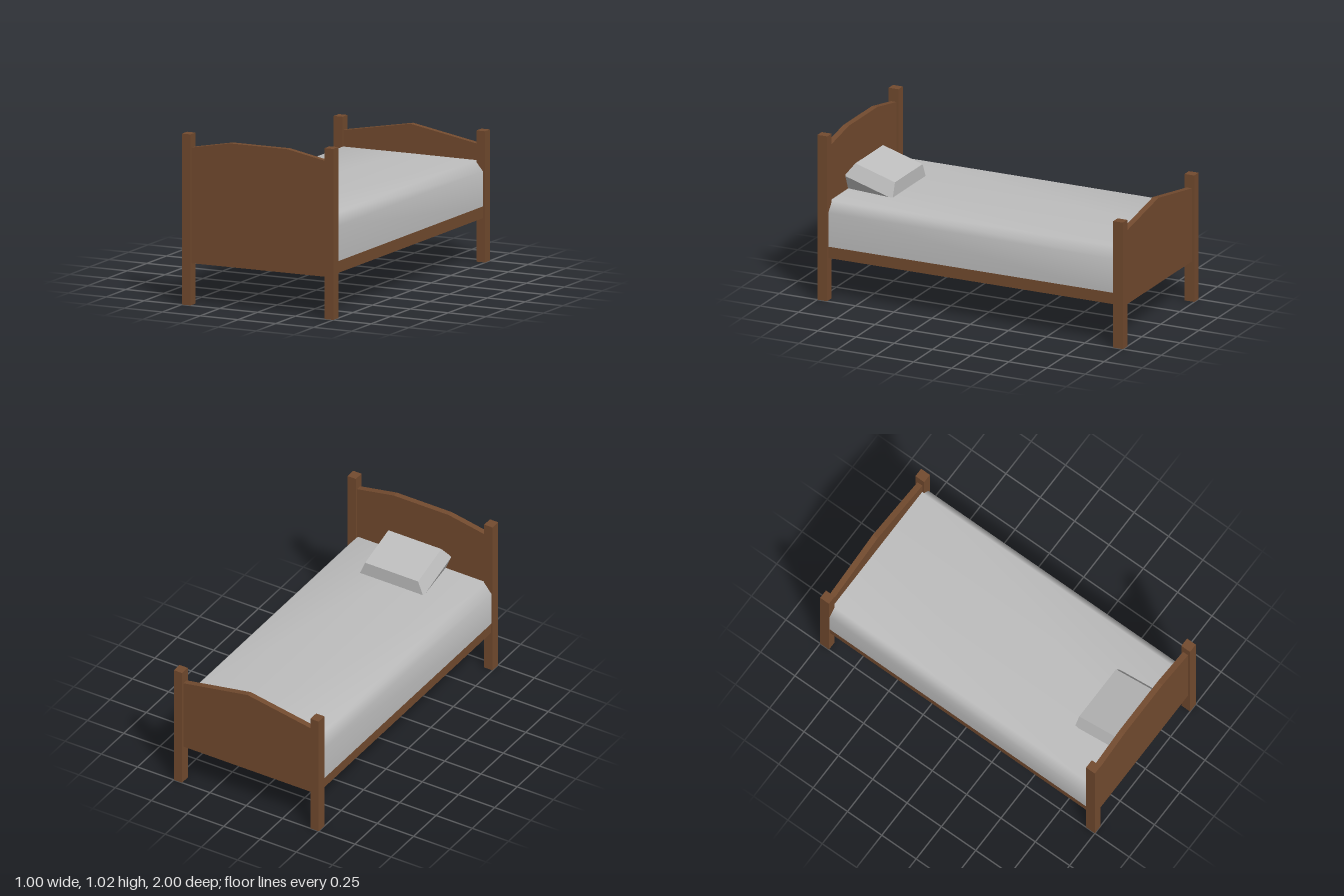
import * as THREE from 'three';

const wood = new THREE.MeshStandardMaterial({ color: 0x734b2f });
wood.name = 'brown wood';
const linen = new THREE.MeshStandardMaterial({ color: 0xbebebe });
linen.name = 'grey linen';

function add(group, name, geometry, material, x = 0, y = 0, z = 0) {
  const mesh = new THREE.Mesh(geometry, material);
  mesh.name = name;
  mesh.position.set(x, y, z);
  group.add(mesh);
  return mesh;
}

// Extrudes an outline in x and y along z, from z0 to z1
function slab(points, z0, z1) {
  const shape = new THREE.Shape(points.map(([x, y]) => new THREE.Vector2(x, y)));
  const geometry = new THREE.ExtrudeGeometry(shape, { depth: z1 - z0, bevelEnabled: false });
  return geometry.translate(0, 0, z0);
}

// Two posts with a shaped panel between them
function bedEnd(name, side, postHeight, topEdge) {
  const group = new THREE.Group();
  group.name = name;
  for (const x of [-1, 1]) {
    add(group, x > 0 ? 'leftPost' : 'rightPost',
      new THREE.BoxGeometry(0.057, postHeight, 0.064), wood, x * 0.4715, postHeight / 2, side * 0.968);
  }
  const outline = [[-0.45, 0.25], [0.45, 0.25], ...topEdge];
  const z = side * 0.967;
  add(group, 'panel', slab(outline, z - 0.018, z + 0.018), wood);
  return group;
}

// Mattress strip with smoothed shoulders along its length, closed by flat ends
function mattress() {
  const group = new THREE.Group();
  group.name = 'mattress';
  const profile = [[0.489, 0.333], [0.489, 0.545], [0.44, 0.605], [0, 0.606],
    [-0.44, 0.605], [-0.489, 0.545], [-0.489, 0.333]];
  const z = 0.948;
  const positions = [], index = [];
  profile.forEach(([x, y], i) => {
    positions.push(x, y, z, x, y, -z);
    if (i) {
      const a = 2 * (i - 1);
      index.push(a, a + 1, a + 2, a + 1, a + 3, a + 2);
    }
  });
  const cover = new THREE.BufferGeometry();
  cover.setAttribute('position', new THREE.Float32BufferAttribute(positions, 3));
  cover.setIndex(index);
  cover.computeVertexNormals();
  add(group, 'mattressCover', cover, linen);

  const end = new THREE.ShapeGeometry(new THREE.Shape(profile.map(([x, y]) => new THREE.Vector2(x, y))));
  add(group, 'mattressHeadEnd', end, linen, 0, 0, z);
  add(group, 'mattressFootEnd', end, linen, 0, 0, -z).rotation.y = Math.PI;
  group.position.x = -0.004;
  return group;
}

// Faceted pillow, widest at its middle seam
function pillowGeometry() {
  const box = new THREE.BoxGeometry(0.44, 0.172, 0.33, 1, 2, 1);
  const p = box.attributes.position;
  for (let i = 0; i < p.count; i++) {
    if (Math.abs(p.getY(i)) > 0.01) {
      p.setX(i, p.getX(i) * 0.83);
      p.setZ(i, p.getZ(i) * 0.82);
    }
  }
  const flat = box.toNonIndexed();
  flat.computeVertexNormals();
  return flat;
}

export function createModel() {
  const bed = new THREE.Group();
  bed.name = 'bed';

  bed.add(bedEnd('headboard', 1, 1.023,
    [[0.45, 0.941], [0.19, 0.99], [-0.19, 0.99], [-0.45, 0.941]]));
  bed.add(bedEnd('footboard', -1, 0.785,
    [[0.45, 0.702], [0, 0.782], [-0.45, 0.702]]));

  // Base with side rails
  add(bed, 'bedBase', new THREE.BoxGeometry(0.976, 0.07, 1.896), wood, -0.002, 0.299, 0);

  bed.add(mattress());

  // Pillow leaning up toward the headboard
  add(bed, 'pillow', pillowGeometry(), linen, 0.014, 0.646, 0.797).rotation.x = -0.295;

  return bed;
}
